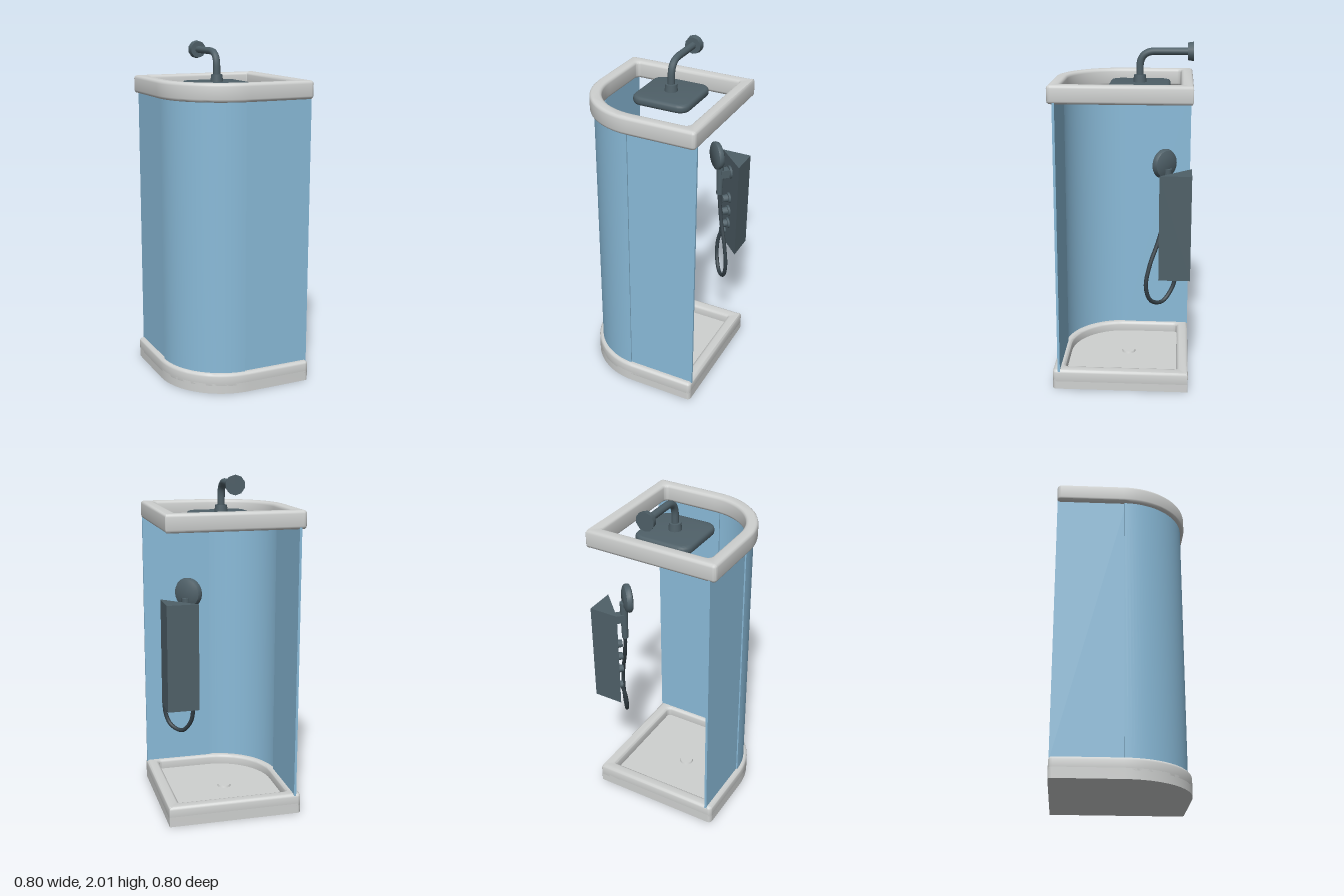
import * as THREE from 'three';
import { toCreasedNormals } from 'three/addons/utils/BufferGeometryUtils.js';

const material = (name, color) => new THREE.MeshStandardMaterial({ name, color });

// Quarter-round plan outline; shape y is -z
function plan(Kind, h, r) {
  const p = new Kind();
  p.absarc(0, 0, h, Math.PI, Math.PI * 1.5, false);
  p.absarc(h - r, r - h, r, -Math.PI / 2, 0, false);
  p.absarc(h - 0.005, h - 0.005, 0.005, 0, Math.PI / 2, false);
  p.absarc(r - h, h - r, r, Math.PI / 2, Math.PI, false);
  p.closePath();
  return p;
}

function roundedSquare(h, r) {
  const s = new THREE.Shape();
  s.absarc(h - r, h - r, r, 0, Math.PI / 2, false);
  s.absarc(r - h, h - r, r, Math.PI / 2, Math.PI, false);
  s.absarc(r - h, r - h, r, Math.PI, Math.PI * 1.5, false);
  s.absarc(h - r, r - h, r, Math.PI * 1.5, Math.PI * 2, false);
  s.closePath();
  return s;
}

// Extrude a plan upwards from y0 to y1 with an optional rounded edge
function slab(shape, y0, y1, bevel = 0, curveSegments = 9) {
  const g = new THREE.ExtrudeGeometry(shape, {
    depth: y1 - y0 - 2 * bevel, curveSegments,
    bevelEnabled: bevel > 0, bevelSize: bevel, bevelThickness: bevel,
    bevelOffset: -bevel, bevelSegments: 3,
  });
  g.translate(0, 0, bevel);
  g.rotateX(-Math.PI / 2);
  g.translate(0, y0, 0);
  return toCreasedNormals(g, 0.7);
}

function ring(y0, y1) {
  const s = plan(THREE.Shape, 0.4, 0.022);
  s.holes.push(plan(THREE.Path, 0.33, 0.025));
  return slab(s, y0, y1, 0.018);
}

export function createModel() {
  const enamel = material('light grey enamel', 0xcfd1d0);
  const glass = material('blue glass', 0x8abbd9);
  const metal = material('dark slate metal', 0x4f6068);
  const rubber = material('dark hose', 0x344047);

  const model = new THREE.Group();
  model.name = 'cornerShower';
  const add = (parent, name, geometry, mat, x = 0, y = 0, z = 0) => {
    const m = new THREE.Mesh(geometry, mat);
    m.name = name;
    m.position.set(x, y, z);
    parent.add(m);
    return m;
  };
  // Short disc or rod lying along z
  const disc = (r, d, n = 16, r2 = r) => new THREE.CylinderGeometry(r2, r, d, n).rotateX(Math.PI / 2);

  // Tray and top frame
  add(model, 'trayFloor', slab(plan(THREE.Shape, 0.4, 0.022), 0, 0.06), enamel);
  add(model, 'trayRim', ring(0.03, 0.12), enamel);
  add(model, 'topFrame', ring(1.7, 1.805), enamel);
  add(model, 'drain', new THREE.CylinderGeometry(0.038, 0.042, 0.012, 20), enamel, -0.02, 0.066, -0.03);

  // Glass screens: two flat panes and a curved door
  const y0 = 0.1, y1 = 1.72, yc = (y0 + y1) / 2;
  add(model, 'frontPane', new THREE.BoxGeometry(0.42, y1 - y0, 0.014), glass, 0.188, yc, 0.362);
  add(model, 'sidePane', new THREE.BoxGeometry(0.014, y1 - y0, 0.415), glass, -0.362, yc, -0.1905);
  const door = new THREE.Shape();
  door.absarc(0, 0, 0.377, Math.PI, Math.PI * 1.5 - 0.04, false);
  door.absarc(0, 0, 0.365, Math.PI * 1.5 - 0.04, Math.PI, true);
  door.closePath();
  add(model, 'curvedDoor', slab(door, y0, y1, 0, 16), glass);

  // Overhead shower on a bent arm
  const overhead = new THREE.Group();
  overhead.name = 'overheadShower';
  overhead.position.set(0.016, 0, -0.093);
  model.add(overhead);
  add(overhead, 'rainHead', slab(roundedSquare(0.176, 0.065), 1.725, 1.775, 0.018, 3), metal);
  add(overhead, 'collar', new THREE.CylinderGeometry(0.034, 0.039, 0.045, 14), metal, 0, 1.794, 0);
  const arm = new THREE.CurvePath();
  const v = (x, y, z) => new THREE.Vector3(x, y, z);
  arm.add(new THREE.LineCurve3(v(0, 1.78, 0), v(0, 1.86, 0)));
  arm.add(new THREE.QuadraticBezierCurve3(v(0, 1.86, 0), v(0, 1.95, 0), v(0, 1.95, -0.09)));
  arm.add(new THREE.LineCurve3(v(0, 1.95, -0.09), v(0, 1.95, -0.29)));
  add(overhead, 'arm', new THREE.TubeGeometry(arm, 40, 0.021, 10), metal);
  add(overhead, 'wallFlange', disc(0.055, 0.034, 10, 0.05), metal, 0, 1.95, -0.29);

  // Triangular corner column
  const tri = new THREE.Shape([[0.4, 0.4], [0.22, 0.4], [0.4, 0.22]].map(([x, y]) => new THREE.Vector2(x, y)));
  add(model, 'cornerColumn', slab(tri, 0.7, 1.31), metal);

  // Fittings on the column's diagonal face; local z points into the cabin
  const fittings = new THREE.Group();
  fittings.name = 'columnFittings';
  fittings.position.set(0.31, 0, -0.31);
  fittings.rotation.y = -Math.PI / 4;
  model.add(fittings);

  const head = [[0, -0.024], [0.05, -0.024], [0.078, -0.012], [0.086, 0.004], [0.084, 0.018], [0.072, 0.025], [0, 0.025]]
    .map(([x, y]) => new THREE.Vector2(x, y));
  const headGeometry = toCreasedNormals(new THREE.LatheGeometry(head, 20).rotateX(Math.PI / 2), 0.7);
  add(fittings, 'handsetHead', headGeometry, metal, 0, 1.345, 0.085);
  add(fittings, 'handsetHandle', new THREE.CylinderGeometry(0.024, 0.019, 0.24, 12), metal, 0, 1.2, 0.066);
  add(fittings, 'handsetBracket', new THREE.BoxGeometry(0.05, 0.05, 0.07), metal, 0, 1.22, 0.03);
  add(fittings, 'bracketPlate', disc(0.04, 0.014), metal, 0, 1.22, 0.006);
  for (const y of [1.04, 0.95, 0.86]) {
    add(fittings, 'knobBase', disc(0.034, 0.014), metal, 0, y, 0.006);
    add(fittings, 'knob', disc(0.025, 0.035, 12, 0.022), metal, 0, y, 0.028);
  }
  add(fittings, 'hoseOutlet', disc(0.022, 0.03, 12), metal, -0.05, 0.78, 0.014);

  // Looping hose from the handset to the outlet
  const hose = new THREE.CatmullRomCurve3([
    [0, 1.09, 0.066], [0.02, 1.02, 0.068], [0.065, 0.9, 0.07], [0.13, 0.77, 0.07], [0.158, 0.65, 0.07],
    [0.12, 0.555, 0.068], [0.035, 0.53, 0.062], [-0.035, 0.6, 0.052], [-0.058, 0.7, 0.04], [-0.05, 0.78, 0.022],
  ].map((p) => v(...p)));
  add(fittings, 'hose', new THREE.TubeGeometry(hose, 60, 0.012, 8), rubber);

  return model;
}
